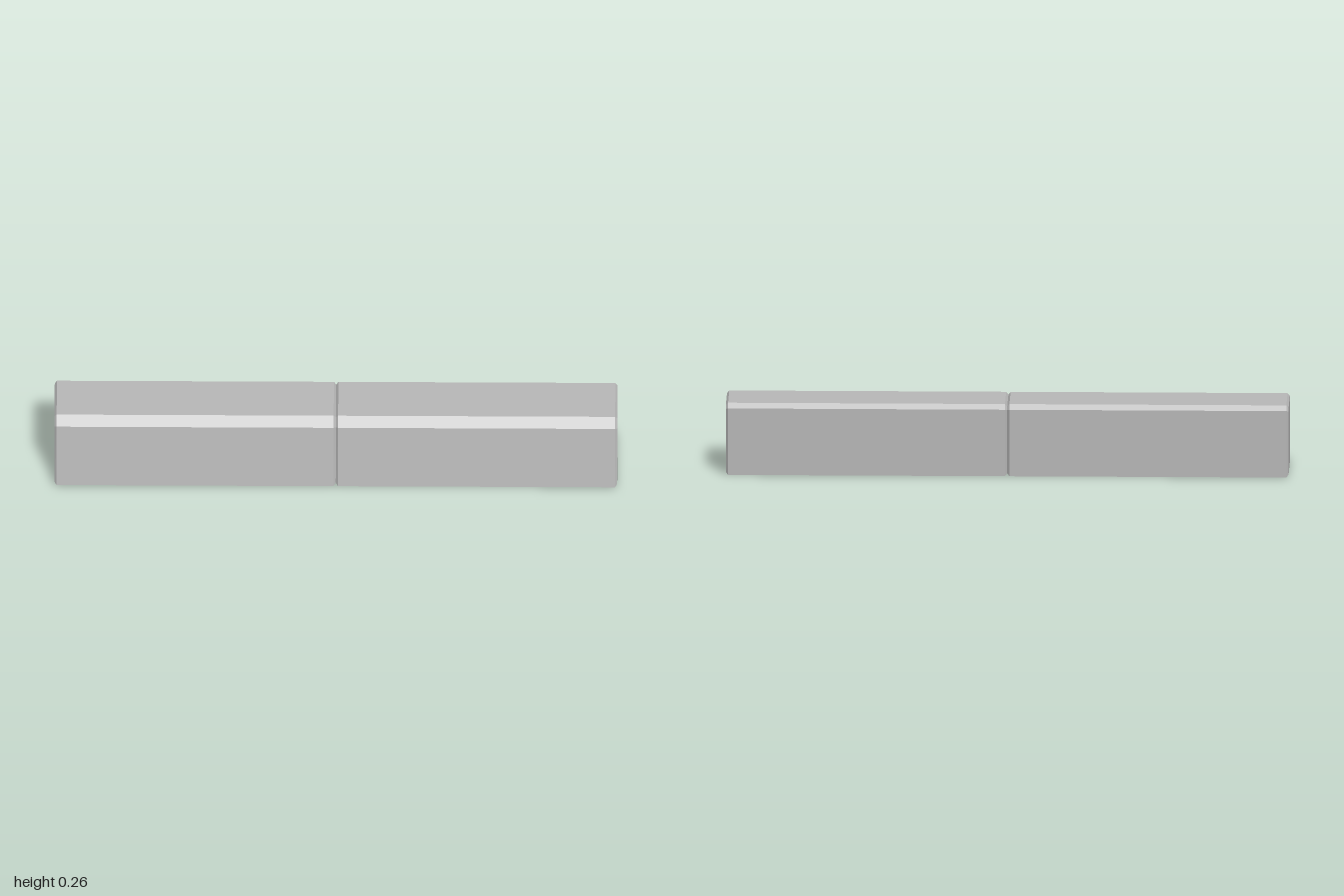
import * as THREE from 'three';

const BEVEL = 0.009;  // inset of the end faces
const DEPTH = 0.008;  // length of the end chamfers
const LENGTH = 1;     // length of one block

// Cross-section as (z, y): sloped front, chamfered top edges, upright back
const PROFILE = [
  [0.144, 0], [0.103, 0.23], [0.07, 0.259],
  [-0.127, 0.259], [-0.144, 0.242], [-0.144, 0],
];

function blockGeometry() {
  const shape = new THREE.Shape(PROFILE.map(([z, y]) => new THREE.Vector2(-z, y)));
  const geometry = new THREE.ExtrudeGeometry(shape, {
    depth: LENGTH - 2 * DEPTH,
    bevelEnabled: true,
    bevelSegments: 1,
    bevelThickness: DEPTH,
    bevelSize: BEVEL,
    bevelOffset: -BEVEL,
  });
  // Centre along the length, then lay the length along x
  geometry.translate(0, 0, DEPTH - LENGTH / 2);
  geometry.rotateY(Math.PI / 2);
  return geometry;
}

export function createModel() {
  const model = new THREE.Group();
  model.name = 'kerb';
  const concrete = new THREE.MeshStandardMaterial({ color: 0xb8b8b8 });
  concrete.name = 'concrete grey';

  // Two identical kerb stones end to end, their chamfers forming the joint
  const geometry = blockGeometry();
  for (const [name, side] of [['leftKerbStone', 1], ['rightKerbStone', -1]]) {
    const stone = new THREE.Mesh(geometry, concrete);
    stone.name = name;
    stone.position.x = side * LENGTH / 2;
    model.add(stone);
  }
  return model;
}
